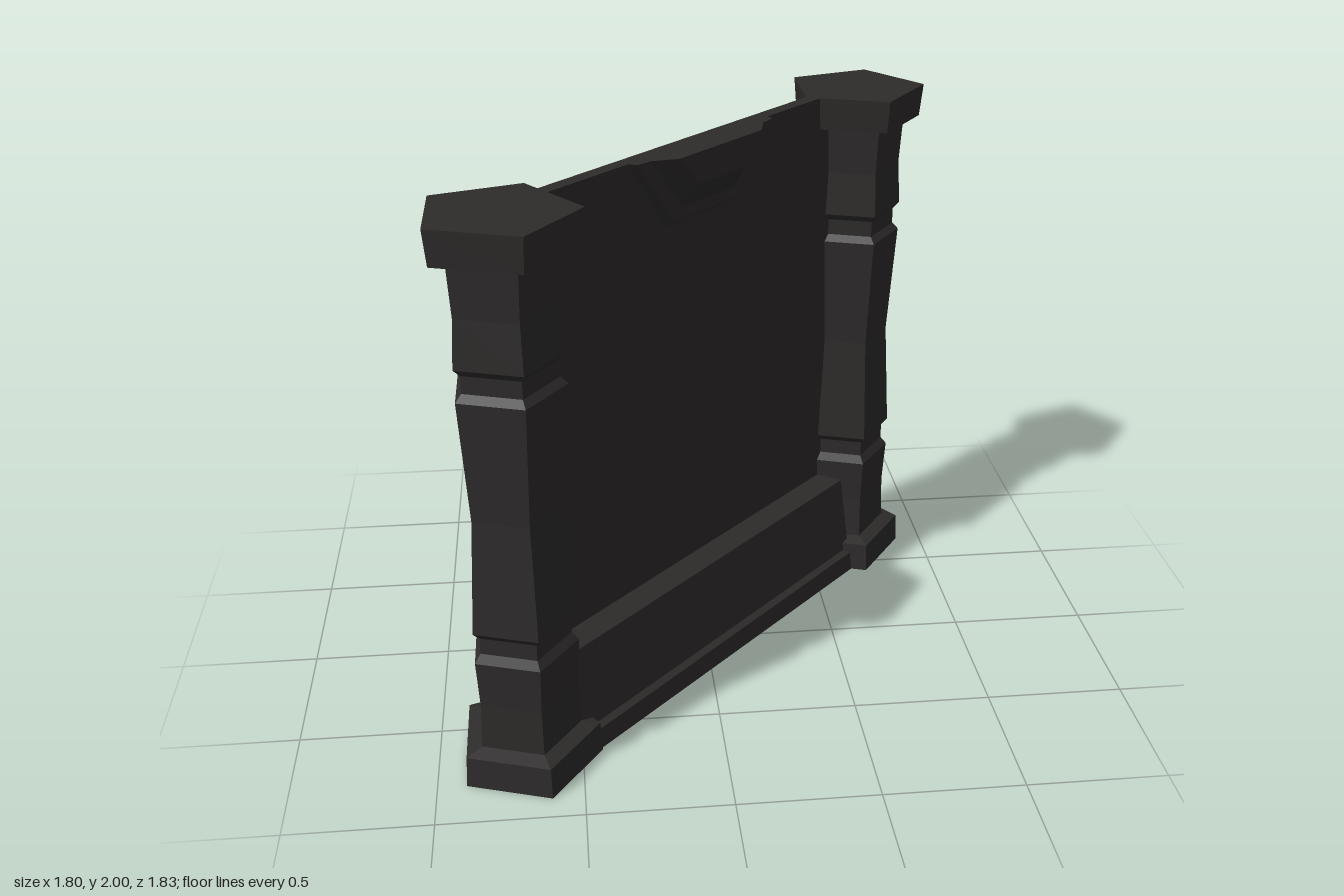
import * as THREE from 'three';

const stone = new THREE.MeshStandardMaterial({ color: 0x2e2b2b, flatShading: true, side: THREE.DoubleSide });

function addMesh(parent, name, geometry) {
  const mesh = new THREE.Mesh(geometry, stone);
  mesh.name = name;
  parent.add(mesh);
  return mesh;
}

// Faceted skin between successive open cross-sections of [x, y, z] points
function loft(rings) {
  const pos = [];
  for (let i = 0; i < rings.length - 1; i++) {
    for (let j = 0; j < rings[i].length - 1; j++) {
      const a = rings[i][j], b = rings[i][j + 1];
      const c = rings[i + 1][j + 1], d = rings[i + 1][j];
      pos.push(...a, ...b, ...c, ...a, ...c, ...d);
    }
  }
  const g = new THREE.BufferGeometry();
  g.setAttribute('position', new THREE.Float32BufferAttribute(pos, 3));
  g.computeVertexNormals();
  return g;
}

// Five-sided turned piece with one corner towards +x
function pentagonal(profile) {
  const points = profile.map(([r, y]) => new THREE.Vector2(r, y));
  return new THREE.LatheGeometry(points, 5, Math.PI / 2);
}

function createPillar(name, x, z) {
  const pillar = new THREE.Group();
  pillar.name = name;
  pillar.position.set(x, 0, z);
  addMesh(pillar, 'pillarBase', pentagonal([[0.26, 0], [0.253, 0.115], [0.17, 0.135]]));
  // Three waisted drums separated by two narrow grooves
  addMesh(pillar, 'pillarShaft', pentagonal([
    [0.19, 0.1], [0.182, 0.3], [0.192, 0.47], [0.168, 0.5], [0.168, 0.56],
    [0.192, 0.585], [0.165, 1.0], [0.192, 1.425], [0.168, 1.45], [0.168, 1.51],
    [0.192, 1.535], [0.18, 1.7], [0.192, 1.9],
  ]));
  addMesh(pillar, 'pillarCap', pentagonal([[0.17, 1.895], [0.25, 1.88], [0.262, 2], [0, 2]]));
  return pillar;
}

// Wall built along local x, front towards local +z
function createWall() {
  const wall = new THREE.Group();
  wall.name = 'wall';
  const face = -0.02;
  const section = (profile, x) => profile.map(([z, y]) => [x, y, z]);

  // Thin upright panel, open underneath
  const panel = [[-0.07, 0], [-0.07, 2], [face, 2], [face, 0.3]];
  addMesh(wall, 'wallPanel', loft([section(panel, -0.9), section(panel, 0.9)]));

  // Sloping skirting with a low plinth, closed at both ends
  const skirt = [[face, 0.4], [0.07, 0.385], [0.12, 0.085], [0.145, 0.075], [0.155, 0]];
  const hub = skirt.map(() => [face, 0]);
  addMesh(wall, 'skirting', loft([
    section(hub, -0.82), section(skirt, -0.82), section(skirt, 0.8), section(hub, 0.8),
  ]));

  // Stepped corbel at the top: [top half width, bottom half width, bottom y, z]
  const steps = [
    [0.37, 0.19, 1.74, face], [0.36, 0.18, 1.76, face + 0.03],
    [0.3, 0.14, 1.805, face + 0.035], [0.22, 0.12, 1.89, face + 0.09],
  ];
  const rings = steps.map(([t, b, y, z]) => [[-t, 2, z], [-b, y, z], [b, y, z], [t, 2, z]]);
  const centre = rings[0].map(() => [0, 2, face + 0.09]);
  addMesh(wall, 'corbel', loft([...rings, centre]));
  addMesh(wall, 'corbelTop', loft([rings.map((r) => r[0]), rings.map((r) => r[3])]));

  wall.rotation.y = Math.PI / 4;
  return wall;
}

export function createModel() {
  const model = new THREE.Group();
  model.name = 'diagonalWall';
  model.add(createWall());
  model.add(createPillar('rightPillar', -0.69, 0.66));
  model.add(createPillar('leftPillar', 0.64, -0.67));
  return model;
}
